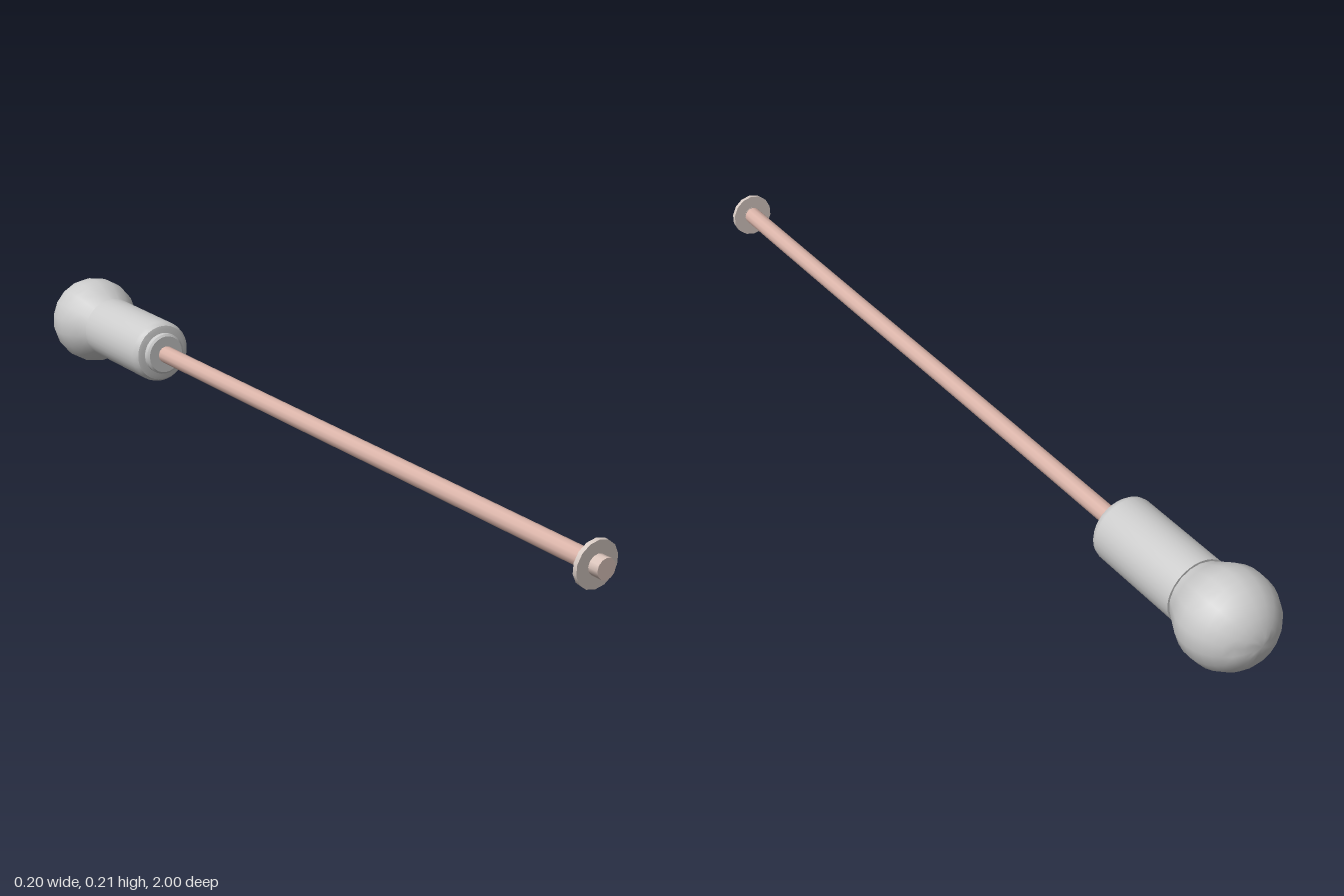
import * as THREE from 'three';
import { toCreasedNormals } from 'three/addons/utils/BufferGeometryUtils.js';

const Y = 0.103; // height of the lamp's axis

// Revolves [radius, z] pairs, listed back to front, around the z axis.
function turned(name, profile, sides, color = 0xcccccc, x = 0) {
  const points = profile.map(([r, z]) => new THREE.Vector2(r, z));
  const geometry = new THREE.LatheGeometry(points, sides).rotateX(Math.PI / 2);
  const mesh = new THREE.Mesh(
    toCreasedNormals(geometry, 0.6),
    new THREE.MeshStandardMaterial({ color })
  );
  mesh.name = name;
  mesh.position.set(x, Y, 0);
  return mesh;
}

export function createModel() {
  const lamp = new THREE.Group();
  lamp.name = 'pendantLamp';

  // Globe bulb: a sphere that tapers into a neck inside the socket
  const globe = [];
  for (let i = 0; i <= 10; i++) {
    const a = (i / 10) * 1.9;
    globe.push([0.104 * Math.sin(a), -0.897 - 0.103 * Math.cos(a)]);
  }
  globe.push([0.083, -0.835], [0.066, -0.805], [0.06, -0.77], [0, -0.77]);
  lamp.add(turned('bulb', globe, 18));

  // Socket: a sleeve with a recessed mouth and rounded front edge
  lamp.add(turned('socket', [
    [0, -0.78], [0.068, -0.78], [0.068, -0.81], [0.073, -0.81],
    [0.073, -0.578], [0.071, -0.569], [0.066, -0.563], [0.058, -0.561], [0, -0.561],
  ], 32));

  // Cord collar on the front of the socket
  lamp.add(turned('collar', [
    [0, -0.565], [0.049, -0.565], [0.049, -0.55], [0.044, -0.546], [0, -0.546],
  ], 24));

  // Cord, drifting slightly sideways towards the ceiling end
  const cordPath = new THREE.CatmullRomCurve3([
    new THREE.Vector3(0, Y, -0.56),
    new THREE.Vector3(0.002, Y, 0),
    new THREE.Vector3(0.006, Y, 0.5),
    new THREE.Vector3(0.008, Y, 0.97),
  ]);
  const cord = new THREE.Mesh(
    new THREE.TubeGeometry(cordPath, 12, 0.02, 12),
    new THREE.MeshStandardMaterial({ color: 0xd9b3a8, side: THREE.DoubleSide })
  );
  cord.name = 'cord';
  lamp.add(cord);

  // Ceiling disc, tipped a little, and the cord's end cap
  const disc = turned('ceilingDisc', [
    [0, -0.005], [0.05, -0.005], [0.05, 0.005], [0, 0.005],
  ], 14, 0xd8cbc4, 0.008);
  disc.position.z = 0.97;
  disc.rotation.x = 0.06;
  lamp.add(disc);
  lamp.add(turned('cordEnd', [
    [0.022, 0.965], [0.022, 1], [0, 1],
  ], 12, 0xd8c2b9, 0.008));

  return lamp;
}
